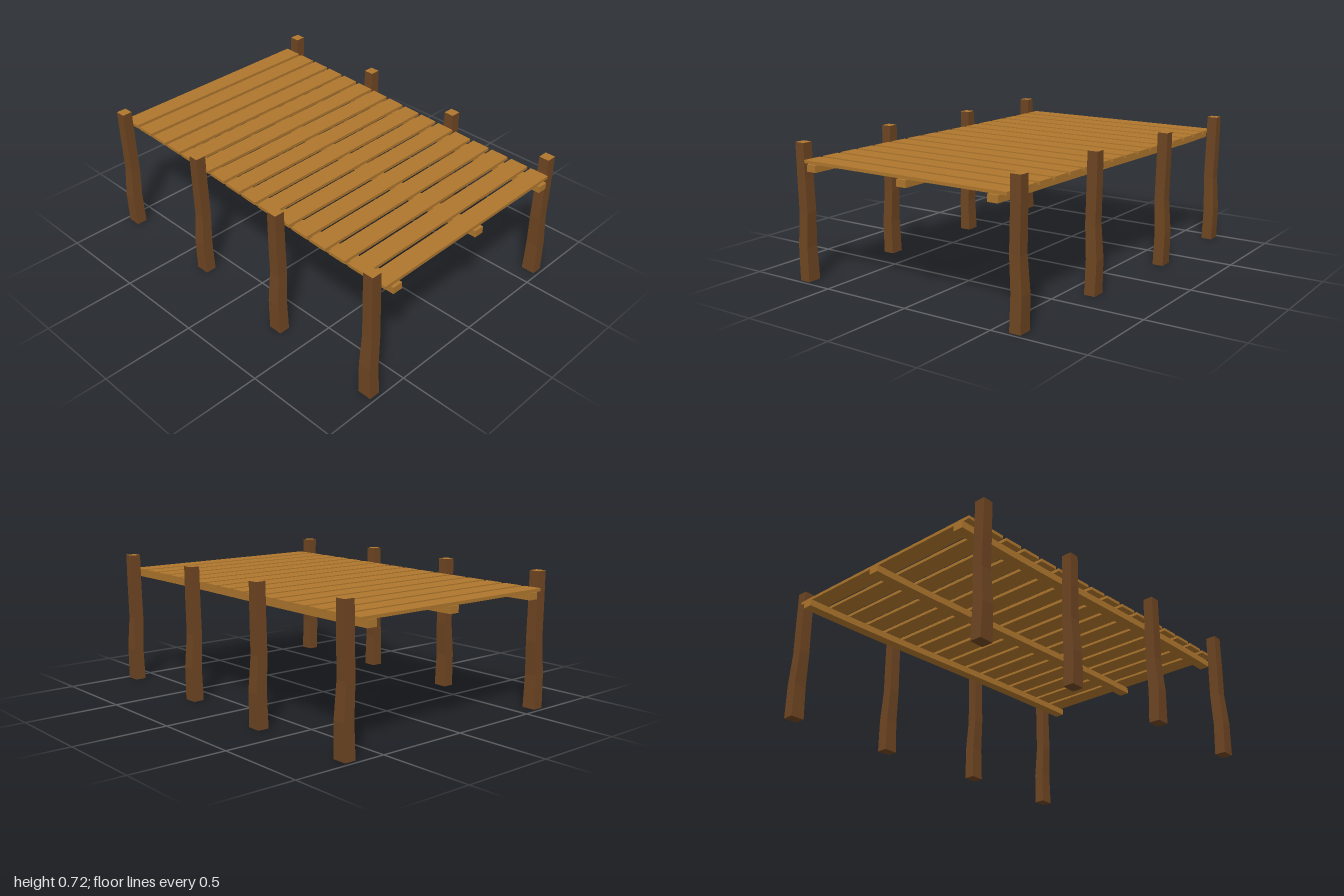
import * as THREE from 'three';

const wood = new THREE.MeshStandardMaterial({ color: 0xae762d });
wood.name = 'light wood';
const bark = new THREE.MeshStandardMaterial({ color: 0x6e4522 });
bark.name = 'dark wood';

// gentle sideways sweep of the whole deck along its length
const sweep = (z) => -0.03 * Math.sin((Math.PI / 2) * z);

// box whose vertices follow the sweep
function sweptBox(name, width, height, depth, x, y, z, segments) {
  const geo = new THREE.BoxGeometry(width, height, depth, 1, 1, segments);
  geo.translate(x, y, z);
  const p = geo.attributes.position;
  for (let i = 0; i < p.count; i++) p.setX(i, p.getX(i) + sweep(p.getZ(i)));
  const flat = geo.toNonIndexed();
  flat.computeVertexNormals();
  const mesh = new THREE.Mesh(flat, wood);
  mesh.name = name;
  return mesh;
}

// slightly crooked post, flared at the foot, with a cut end on top
const POST_HEIGHT = 0.717;
const BEND = [0, -0.005, 0.006, 0.002, 0];
const HALF_X = [0.03, 0.03, 0.028, 0.028, 0.028];
const HALF_Z = [0.038, 0.034, 0.03, 0.029, 0.028];

function post(name, x, z) {
  const geo = new THREE.BoxGeometry(2, POST_HEIGHT, 2, 1, 4, 1);
  geo.translate(0, POST_HEIGHT / 2, 0);
  const p = geo.attributes.position;
  const side = Math.sign(x);
  for (let i = 0; i < p.count; i++) {
    const level = Math.round((p.getY(i) / POST_HEIGHT) * 4);
    p.setX(i, p.getX(i) * HALF_X[level] - side * BEND[level]);
    p.setZ(i, p.getZ(i) * HALF_Z[level]);
  }
  const flat = geo.toNonIndexed();
  geo.groups.forEach((g) => flat.addGroup(g.start, g.count, g.materialIndex));
  if (flat.groups.length > 6) flat.groups.length = 6;
  flat.computeVertexNormals();
  const mesh = new THREE.Mesh(flat, [bark, bark, wood, bark, bark, bark]);
  mesh.name = name;
  mesh.position.set(x, 0, z);
  return mesh;
}

export function createModel() {
  const model = new THREE.Group();
  model.name = 'dock';

  // deck planks
  const deck = new THREE.Group();
  deck.name = 'deck';
  for (let i = 0; i < 16; i++) {
    deck.add(sweptBox('plank', 1.22, 0.016, 0.103, 0, 0.628, -0.942 + i * 0.1249, 1));
  }
  model.add(deck);

  // long beams under the planks
  const beams = new THREE.Group();
  beams.name = 'beams';
  for (const x of [-0.547, 0.03, 0.547]) {
    beams.add(sweptBox('beam', 0.056, 0.036, 2, x, 0.602, 0, 16));
  }
  model.add(beams);

  // posts along both sides
  const posts = new THREE.Group();
  posts.name = 'posts';
  const rows = [
    [-0.62, 0.678, -0.94],
    [-0.622, 0.677, -0.315],
    [-0.672, 0.628, 0.32],
    [-0.682, 0.617, 0.942],
  ];
  for (const [right, left, z] of rows) {
    posts.add(post('rightPost', right, z), post('leftPost', left, z));
  }
  model.add(posts);

  return model;
}
